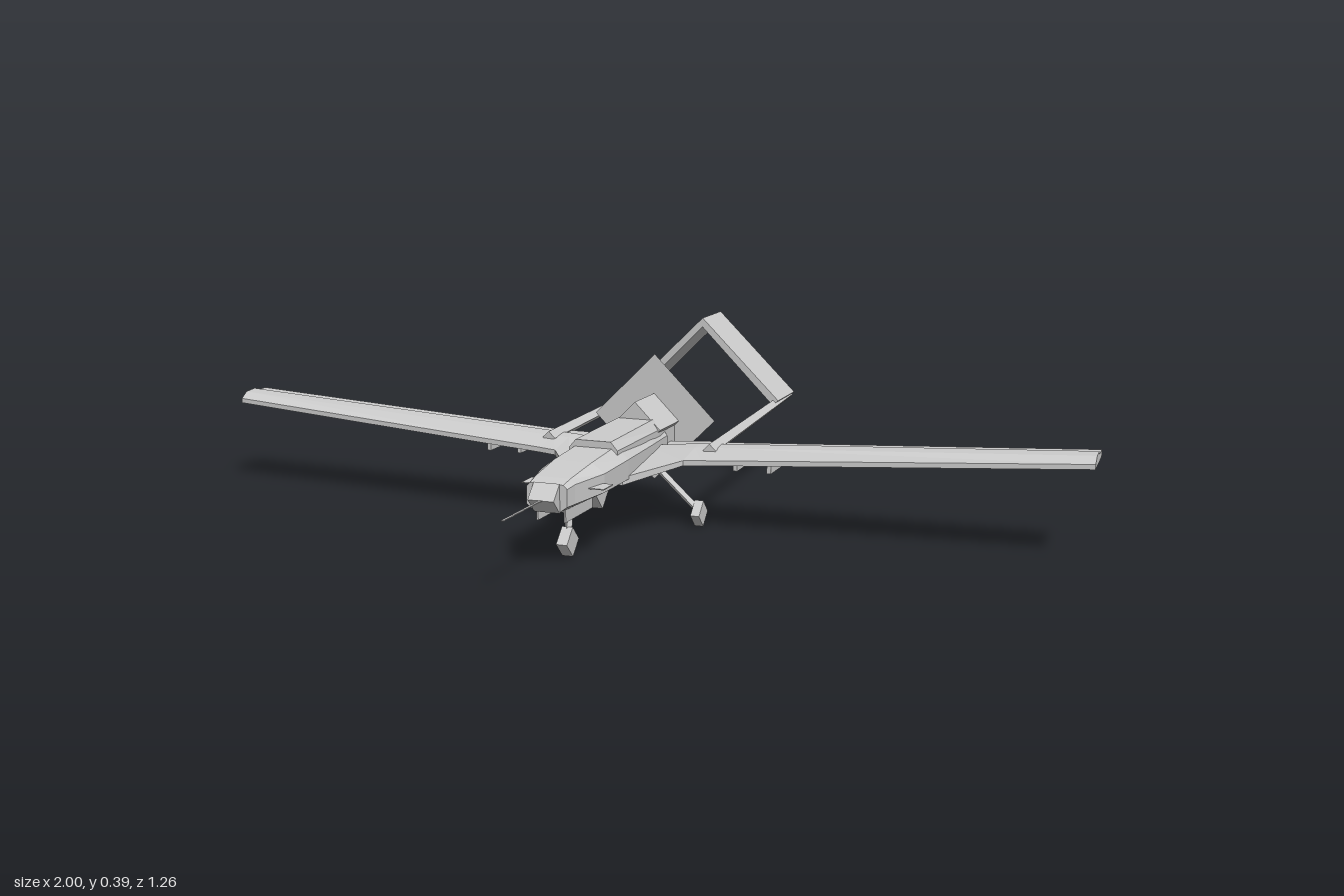
import * as THREE from 'three';

const mat = new THREE.MeshStandardMaterial({ color: 0xcccccc, flatShading: true, side: THREE.DoubleSide });
const V = (x, y, z) => new THREE.Vector3(x, y, z);

// Closed solid through a list of equal-length rings of points
function loft(rings) {
  const tris = [], n = rings[0].length;
  for (let s = 0; s < rings.length - 1; s++) {
    const a = rings[s], b = rings[s + 1];
    for (let i = 0; i < n; i++) {
      const j = (i + 1) % n;
      tris.push([a[i], b[i], a[j]], [a[j], b[i], b[j]]);
    }
  }
  const first = rings[0], last = rings[rings.length - 1];
  for (let i = 1; i < n - 1; i++) {
    tris.push([first[0], first[i], first[i + 1]], [last[0], last[i + 1], last[i]]);
  }
  // Turn all faces outward
  let volume = 0;
  for (const [a, b, c] of tris) volume += a.dot(b.clone().cross(c));
  if (volume < 0) tris.forEach((t) => t.reverse());
  const g = new THREE.BufferGeometry().setFromPoints(tris.flat());
  g.computeVertexNormals();
  return g;
}

// Eight-cornered body ring: z, bottom half-width, side half-width, top half-width, heights
function bodyRing([z, wb, ws, wt, yb, y1, y2, yt]) {
  return [[wb, yb], [ws, y1], [ws, y2], [wt, yt], [-wt, yt], [-ws, y2], [-ws, y1], [-wb, yb]]
    .map(([x, y]) => V(x, y, z));
}

export function createModel() {
  const model = new THREE.Group();
  const add = (name, geometry, x = 0, y = 0, z = 0) => {
    const m = new THREE.Mesh(geometry, mat);
    m.name = name;
    m.position.set(x, y, z);
    model.add(m);
    return m;
  };
  const box = (name, w, h, d, x, y, z) => add(name, new THREE.BoxGeometry(w, h, d), x, y, z);
  // Four-sided drum lying across the model
  const drum = (name, r, w, x, y, z) =>
    add(name, new THREE.CylinderGeometry(r, r, w, 4).rotateZ(Math.PI / 2), x, y, z);
  // Four-sided rod between two points
  const rod = (name, a, b, ra, rb = ra) => {
    const m = add(name, new THREE.CylinderGeometry(rb, ra, a.distanceTo(b), 4));
    m.position.copy(a).lerp(b, 0.5);
    m.quaternion.setFromUnitVectors(V(0, 1, 0), b.clone().sub(a).normalize());
    return m;
  };

  // Fuselage and the raised spine on top
  add('fuselage', loft([
    [0.43, 0.03, 0.044, 0.036, 0.122, 0.132, 0.168, 0.176],
    [0.4, 0.034, 0.048, 0.038, 0.122, 0.132, 0.172, 0.183],
    [0.3, 0.042, 0.07, 0.042, 0.122, 0.136, 0.175, 0.196],
    [0.17, 0.042, 0.07, 0.042, 0.122, 0.136, 0.178, 0.205],
    [0.0, 0.04, 0.062, 0.042, 0.122, 0.136, 0.178, 0.205],
    [-0.1, 0.035, 0.056, 0.04, 0.124, 0.14, 0.178, 0.2],
  ].map(bodyRing)));
  add('spine', loft([
    [0.195, 0.055, 0.055, 0.04, 0.185, 0.19, 0.2, 0.218],
    [-0.05, 0.055, 0.055, 0.04, 0.185, 0.19, 0.2, 0.222],
    [-0.1, 0.05, 0.05, 0.038, 0.18, 0.185, 0.195, 0.212],
  ].map(bodyRing)));
  drum('noseBall', 0.03, 0.056, 0, 0.148, 0.43);
  box('noseProbe', 0.005, 0.002, 0.18, 0, 0.148, 0.54);
  drum('sensorTurret', 0.044, 0.06, 0, 0.123, 0.215);

  // Engine and propeller disc
  box('engineBay', 0.1, 0.06, 0.1, 0, 0.178, -0.112);
  add('engineCowl', new THREE.CylinderGeometry(0.06, 0.06, 0.12, 4).rotateX(Math.PI / 2), 0, 0.2, -0.103);
  add('propellerDisc', new THREE.CircleGeometry(0.145, 4), 0, 0.205, -0.166);

  // Wing with root fairing: x, leading z, trailing z, bottom y, top y
  const stations = [
    [0.06, 0.18, -0.14, 0.124, 0.166],
    [0.15, 0.056, -0.11, 0.148, 0.176],
    [0.19, 0.05, -0.1, 0.15, 0.178],
    [1, 0, -0.1, 0.198, 0.225],
  ];
  const wingRing = (side) => ([x, le, te, yb, yt]) => {
    const ridge = -0.055, h = yt - yb;
    return [[le, yb], [le, yb + 0.4 * h], [ridge + 0.035, yt - 0.1 * h], [ridge, yt],
      [ridge - 0.004, yt - 0.25 * h], [te, yt - 0.2 * h], [te, yb + 0.25 * h]]
      .map(([z, y]) => V(side * x, y, z));
  };
  add('wing', loft([
    ...stations.slice().reverse().map(wingRing(-1)),
    ...stations.map(wingRing(1)),
  ]));

  // Inverted V tail
  const v = new THREE.Shape([[0.195, 0.2], [0, 0.392], [-0.195, 0.2], [-0.181, 0.188], [0, 0.37], [0.181, 0.188]]
    .map(([x, y]) => new THREE.Vector2(x, y)));
  add('tail', new THREE.ExtrudeGeometry(v, { depth: 0.137, bevelEnabled: false }), 0, 0, -0.63);

  // Nose gear
  drum('noseWheel', 0.031, 0.024, 0, 0.034, 0.33);
  rod('noseStrut', V(0, 0.04, 0.33), V(0, 0.13, 0.31), 0.008);

  for (const s of [-1, 1]) {
    rod('tailBoom', V(s * 0.19, 0.173, 0), V(s * 0.18, 0.193, -0.63), 0.015, 0.011);
    box('noseGearDoor', 0.004, 0.03, 0.135, s * 0.03, 0.11, 0.343);
    box('noseVane', 0.035, 0.002, 0.05, s * 0.073, 0.155, 0.33);
    drum('mainWheel', 0.029, 0.02, s * 0.165, 0.03, -0.008);
    rod('mainStrut', V(s * 0.165, 0.035, -0.008), V(s * 0.05, 0.14, -0.008), 0.008);
    for (const x of [0.255, 0.33]) box('pylon', 0.009, 0.026, 0.08, s * x, 0.15, -0.022);
  }

  return model;
}
